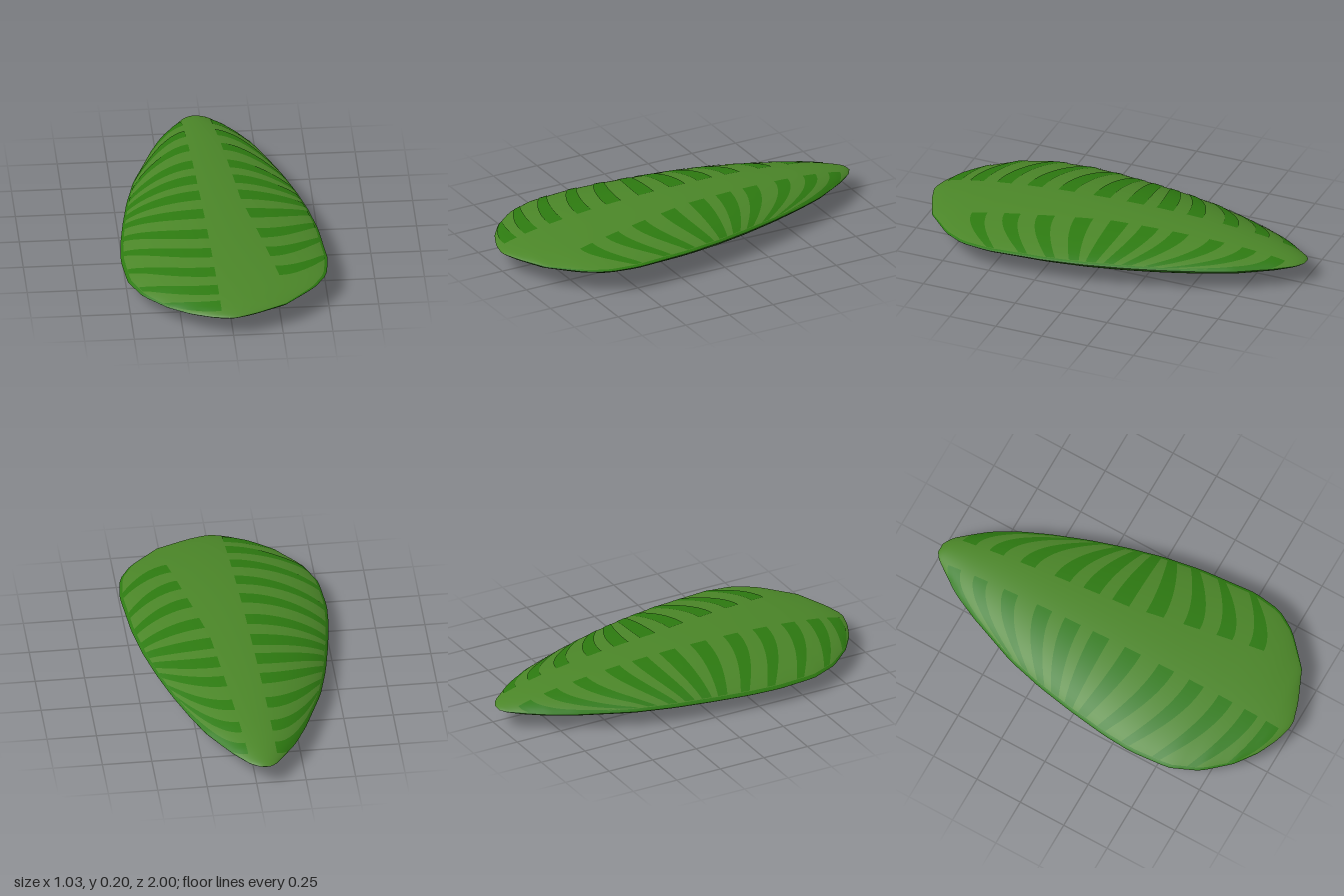
import * as THREE from 'three';

// Outline of the leaf-shaped body as [z, x] pairs, back to front
const LEFT_EDGE = [[-1, -0.02], [-0.97, 0.03], [-0.88, 0.105], [-0.7, 0.22], [-0.55, 0.285], [-0.36, 0.355], [-0.18, 0.41],
  [0, 0.455], [0.2, 0.49], [0.5, 0.515], [0.65, 0.495], [0.76, 0.43], [0.9, 0.28], [0.97, 0.12], [1, 0.02]];
const RIGHT_EDGE = [[-1, -0.07], [-0.98, -0.1], [-0.9, -0.16], [-0.8, -0.225], [-0.68, -0.285], [-0.4, -0.395], [-0.2, -0.445],
  [0, -0.48], [0.2, -0.508], [0.36, -0.518], [0.57, -0.5], [0.72, -0.435], [0.85, -0.32], [0.93, -0.21], [0.98, -0.1], [1, -0.02]];

function edgeAt(edge, z) {
  let i = 1;
  while (i < edge.length - 1 && edge[i][0] < z) i++;
  const [z0, x0] = edge[i - 1], [z1, x1] = edge[i];
  return x0 + (x1 - x0) * (z - z0) / (z1 - z0);
}

// Height of the upper (side 1) or lower (side -1) skin over a slightly tilted rim
function heightAt(x, z, side) {
  const r = edgeAt(RIGHT_EDGE, z), l = edgeAt(LEFT_EDGE, z);
  const s = THREE.MathUtils.clamp((2 * x - r - l) / (l - r), -1, 1);
  const lens = Math.pow(Math.max(0, 1 - z * z), 0.65) * Math.pow(1 - s * s, 0.75);
  const rim = 0.102 + (x + 0.02) * 0.043 * (1 - lens);
  return rim + side * 0.1 * lens;
}

// Grid surface from a point function of (u, v)
function surface(name, nu, nv, point, material, flip = false) {
  const positions = [], index = [];
  for (let j = 0; j <= nv; j++) {
    for (let i = 0; i <= nu; i++) positions.push(...point(i / nu, j / nv));
  }
  for (let j = 0; j < nv; j++) {
    for (let i = 0; i < nu; i++) {
      const a = j * (nu + 1) + i, b = a + 1, c = a + nu + 1, d = c + 1;
      if (flip) index.push(a, b, c, b, d, c);
      else index.push(a, c, b, b, c, d);
    }
  }
  const geometry = new THREE.BufferGeometry();
  geometry.setAttribute('position', new THREE.Float32BufferAttribute(positions, 3));
  geometry.setIndex(index);
  geometry.computeVertexNormals();
  const mesh = new THREE.Mesh(geometry, material);
  mesh.name = name;
  return mesh;
}

export function createModel() {
  const group = new THREE.Group();
  group.name = 'stripedLeaf';
  const light = new THREE.MeshStandardMaterial({ color: 0x4b8628 });
  const green = new THREE.MeshStandardMaterial({ color: 0x2d7a10 });
  const under = new THREE.MeshStandardMaterial({ color: 0x2a6c10 });
  const stripeGreen = green.clone();
  stripeGreen.side = THREE.DoubleSide;

  // Skin between two fractions of the width, from the back tip to the front tip
  const skin = (name, s0, s1, side, material, columns) => surface(name, columns, 56, (u, v) => {
    const z = -Math.cos(Math.PI * v);
    const s = Math.sin(THREE.MathUtils.lerp(Math.asin(s0), Math.asin(s1), u));
    const r = edgeAt(RIGHT_EDGE, z), l = edgeAt(LEFT_EDGE, z);
    const x = (l + r) / 2 + s * (l - r) / 2;
    return [x, heightAt(x, z, side), z];
  }, material, side < 0);

  group.add(skin('upperSkin', -0.97, 0.97, 1, light, 36));
  group.add(skin('rightRim', -1, -0.97, 1, green, 6));
  group.add(skin('leftRim', 0.97, 1, 1, green, 6));
  group.add(skin('underside', -1, 1, -1, under, 40));

  // Curved stripes running from beside the middle band to the rim
  const centres = [-0.88, -0.73, -0.56, -0.37, -0.21, -0.05, 0.13, 0.32, 0.49, 0.655, 0.8, 0.92];
  const outerZ = (z) => (z < 0 ? z * 0.55 : z - 0.6 * z * (1 - z) - 0.04 * z);
  for (const side of [1, -1]) {
    const edge = side > 0 ? LEFT_EDGE : RIGHT_EDGE;
    for (const centre of centres) {
      if (side > 0 && centre > 0.7) continue;
      const halfWidth = 0.047 - 0.012 * Math.abs(centre);
      const stripe = surface(side > 0 ? 'leftStripe' : 'rightStripe', 20, 4, (u, v) => {
        const zIn = centre + (v * 2 - 1) * halfWidth;
        const zOut = outerZ(centre) + (v * 2 - 1) * halfWidth * 0.55;
        const inner = side > 0 ? 0.115 + 0.2 * zIn - (zIn < 0 ? 0.11 * zIn : 0) : -0.085 + 0.03 * zIn;
        const x = THREE.MathUtils.lerp(inner, edgeAt(edge, zOut) * 0.97, u);
        const z = THREE.MathUtils.lerp(zIn, zOut, Math.pow(u, 1.8));
        return [x, heightAt(x, z, 1) + 0.003, z];
      }, stripeGreen, side < 0);
      group.add(stripe);
    }
  }
  return group;
}
